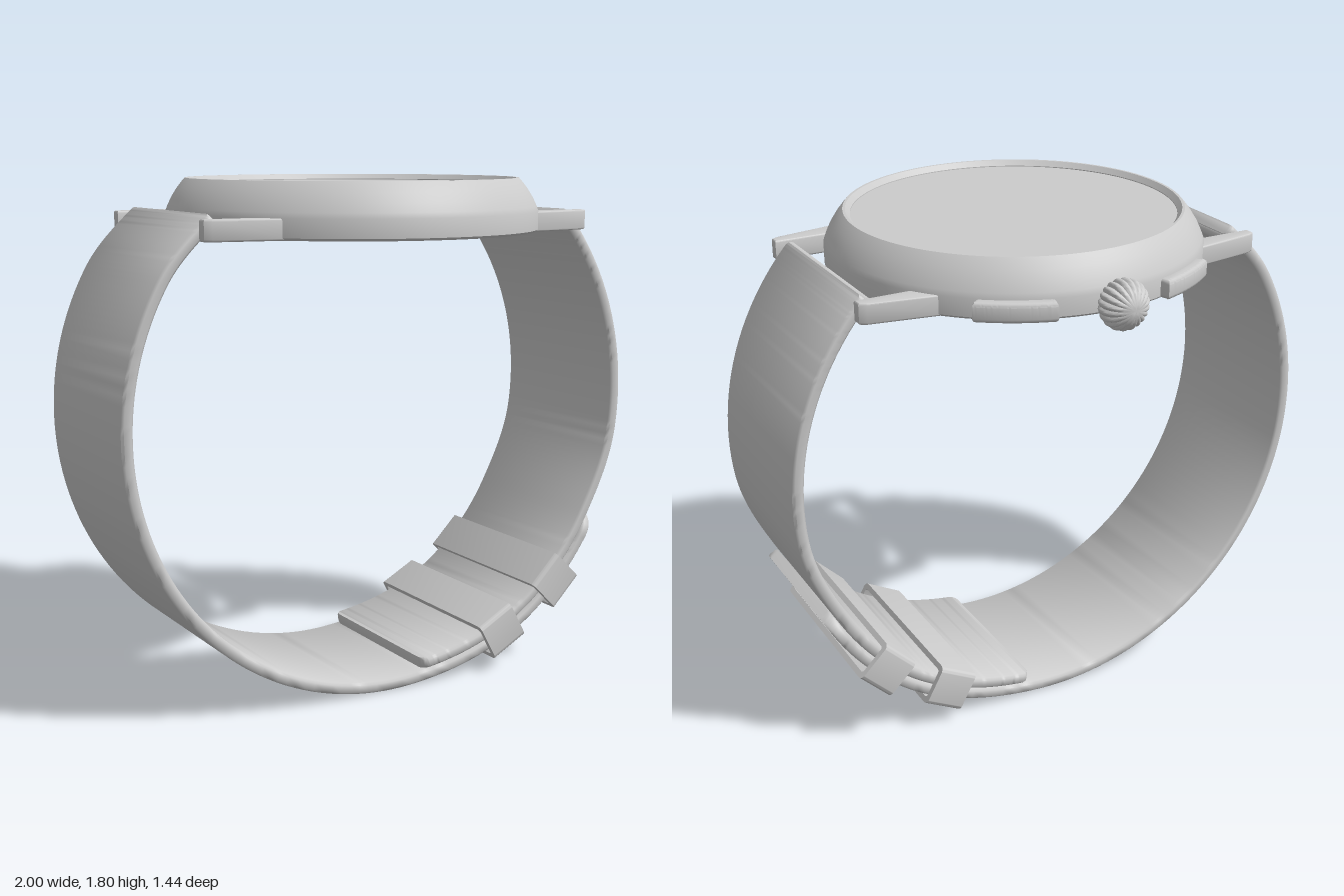
import * as THREE from 'three';
import { toCreasedNormals, mergeVertices } from 'three/addons/utils/BufferGeometryUtils.js';

const CX = 0.015, CZ = 0.06;          // centre of the watch case
const BASE = 1.615;                   // underside of the case
const rad = THREE.MathUtils.degToRad;
const ramp = THREE.MathUtils.smoothstep;
const material = new THREE.MeshStandardMaterial({ color: 0xcccccc });

function add(parent, name, geometry, x = 0, y = 0, z = 0) {
  const mesh = new THREE.Mesh(geometry, material);
  mesh.name = name;
  mesh.position.set(x, y, z);
  parent.add(mesh);
  return mesh;
}

function lathe(points) {
  const g = new THREE.LatheGeometry(points.map(p => new THREE.Vector2(...p)), 96);
  return toCreasedNormals(g, 0.45);
}

// Flat outline (x, -z) raised along y with a small bevel
function plate(shape, height, bevel) {
  const g = new THREE.ExtrudeGeometry(shape, {
    depth: height - 2 * bevel, bevelEnabled: true, bevelThickness: bevel,
    bevelSize: bevel, bevelOffset: -bevel, bevelSegments: 3, curveSegments: 24,
  });
  g.rotateX(-Math.PI / 2).translate(0, bevel, 0);
  return toCreasedNormals(g, 0.6);
}

function roundedRect(path, w, h, r) {
  const x = w / 2, y = h / 2;
  path.absarc(x - r, y - r, r, 0, Math.PI / 2);
  path.absarc(-x + r, y - r, r, Math.PI / 2, Math.PI);
  path.absarc(-x + r, -y + r, r, Math.PI, 1.5 * Math.PI);
  path.absarc(x - r, -y + r, r, 1.5 * Math.PI, 2 * Math.PI);
  path.closePath();
  return path;
}

// Curved band from angle a0 to a1 (degrees, a0 < a1) with rounded end corners
function strapGeometry(a0, a1, radiusAt, corner0, corner1) {
  const steps = 140, halfW = 0.32, h = 0.02, c = 0.008;
  const length = rad(a1 - a0) * 0.98;
  const inset = (d, r) => d < r ? r - Math.sqrt(r * r - (r - d) ** 2) : 0;
  const positions = [], index = [];
  for (let i = 0; i <= steps; i++) {
    const t = (1 - Math.cos(Math.PI * i / steps)) / 2;
    const deg = a0 + (a1 - a0) * t, a = rad(deg);
    const w = halfW - inset(t * length, corner0) - inset((1 - t) * length, corner1);
    const section = [[w - c, h], [w, h - c], [w, c - h], [w - c, -h],
      [c - w, -h], [-w, c - h], [-w, h - c], [c - w, h]];
    for (const [z, dr] of section) {
      const r = radiusAt(deg) + dr;
      positions.push(r * Math.cos(a), 1 + r * Math.sin(a), CZ + z);
    }
  }
  for (let i = 0; i < steps; i++) {
    for (let j = 0; j < 8; j++) {
      const p = i * 8 + j, q = i * 8 + (j + 1) % 8;
      index.push(p, p + 8, q, q, p + 8, q + 8);
    }
  }
  const last = steps * 8;
  for (let j = 1; j < 7; j++) {
    index.push(0, j, j + 1, last, last + j + 1, last + j);
  }
  const g = new THREE.BufferGeometry();
  g.setAttribute('position', new THREE.Float32BufferAttribute(positions, 3));
  g.setIndex(index);
  return toCreasedNormals(mergeVertices(g), 0.9);
}

export function createModel() {
  const model = new THREE.Group();
  model.name = 'wristwatch';

  // Case with domed bezel, and the slightly sunken glass
  add(model, 'case', lathe([[0, BASE], [0.648, BASE], [0.657, BASE + 0.008], [0.657, 1.685],
    [0.65, 1.703], [0.636, 1.733], [0.615, 1.766], [0.596, 1.79], [0.587, 1.8],
    [0.578, 1.8], [0.562, 1.782], [0.562, 1.77]]), CX, 0, CZ);
  add(model, 'glass', lathe([[0.564, 1.779], [0, 1.779]]), CX, 0, CZ);

  // Four tapered lugs and the two spring bars
  for (const sx of [-1, 1]) {
    for (const sz of [-1, 1]) {
      const outline = [[0.45, 0.34], [0.748, 0.34], [0.748, 0.375], [0.725, 0.388], [0.47, 0.43]]
        .map(([x, z]) => new THREE.Vector2(sx * x, sz * z));
      if (sx * sz < 0) outline.reverse();
      add(model, 'lug', plate(new THREE.Shape(outline), 0.07, 0.006), CX, BASE, CZ);
    }
    const bar = new THREE.CylinderGeometry(0.022, 0.022, 0.7, 20).rotateX(Math.PI / 2);
    add(model, 'springBar', bar, CX + sx * 0.695, 1.652, CZ);
  }

  // Two curved push buttons behind the rim
  for (const side of [-1, 1]) {
    const mid = Math.PI / 2 - side * rad(28.3), half = rad(11.2);
    const shape = new THREE.Shape();
    shape.absarc(0, 0, 0.692, mid - half, mid + half, false);
    shape.absarc(0, 0, 0.63, mid + half, mid - half, true);
    shape.closePath();
    add(model, 'pushButton', plate(shape, 0.066, 0.014), CX, BASE + 0.002, CZ);
  }

  // Fluted crown on a short stem
  const crown = new THREE.SphereGeometry(1, 160, 24).rotateX(-Math.PI / 2);
  const pos = crown.attributes.position;
  for (let i = 0; i < pos.count; i++) {
    const x = pos.getX(i), y = pos.getY(i);
    const s = 0.085 * (0.89 + 0.11 * Math.abs(Math.sin(10 * Math.atan2(y, x))));
    pos.setXYZ(i, x * s, y * s, pos.getZ(i) * 0.072);
  }
  add(model, 'crown', toCreasedNormals(crown, 0.6), CX, 1.657, -0.65);
  add(model, 'crownStem', new THREE.CylinderGeometry(0.035, 0.035, 0.1, 24).rotateX(Math.PI / 2),
    CX, 1.657, -0.6);

  // The straps overlap at the lower left: one rides outside the other
  const outer = d => 0.98 + 0.025 * ramp(d, 275, 310) - 0.02 * (1 - ramp(d, 134, 150));
  const inner = d => d < 332 ? outer(d) - 0.043 : 0.962 + 0.018 * ramp(d, 332, 352);
  add(model, 'outerStrap', strapGeometry(134.5, 332.5, outer, 0.015, 0.085));
  add(model, 'innerStrap', strapGeometry(278, 403.3, inner, 0.03, 0.015));

  // Two keeper loops around the overlap
  for (const [x, y] of [[0.465, 0.147], [0.705, 0.305]]) {
    const shape = roundedRect(new THREE.Shape(), 0.69, 0.152, 0.022);
    shape.holes.push(roundedRect(new THREE.Path(), 0.65, 0.112, 0.012));
    const g = new THREE.ExtrudeGeometry(shape, { depth: 0.15, bevelEnabled: false, curveSegments: 5 });
    g.translate(0, 0, -0.075);
    const loop = add(model, 'keeperLoop', toCreasedNormals(g, 0.6), x, y, CZ);
    const radial = new THREE.Vector3(x, y - 1, 0).normalize();
    const tangent = new THREE.Vector3(-radial.y, radial.x, 0);
    loop.quaternion.setFromRotationMatrix(
      new THREE.Matrix4().makeBasis(new THREE.Vector3(0, 0, 1), radial, tangent));
  }
  return model;
}
